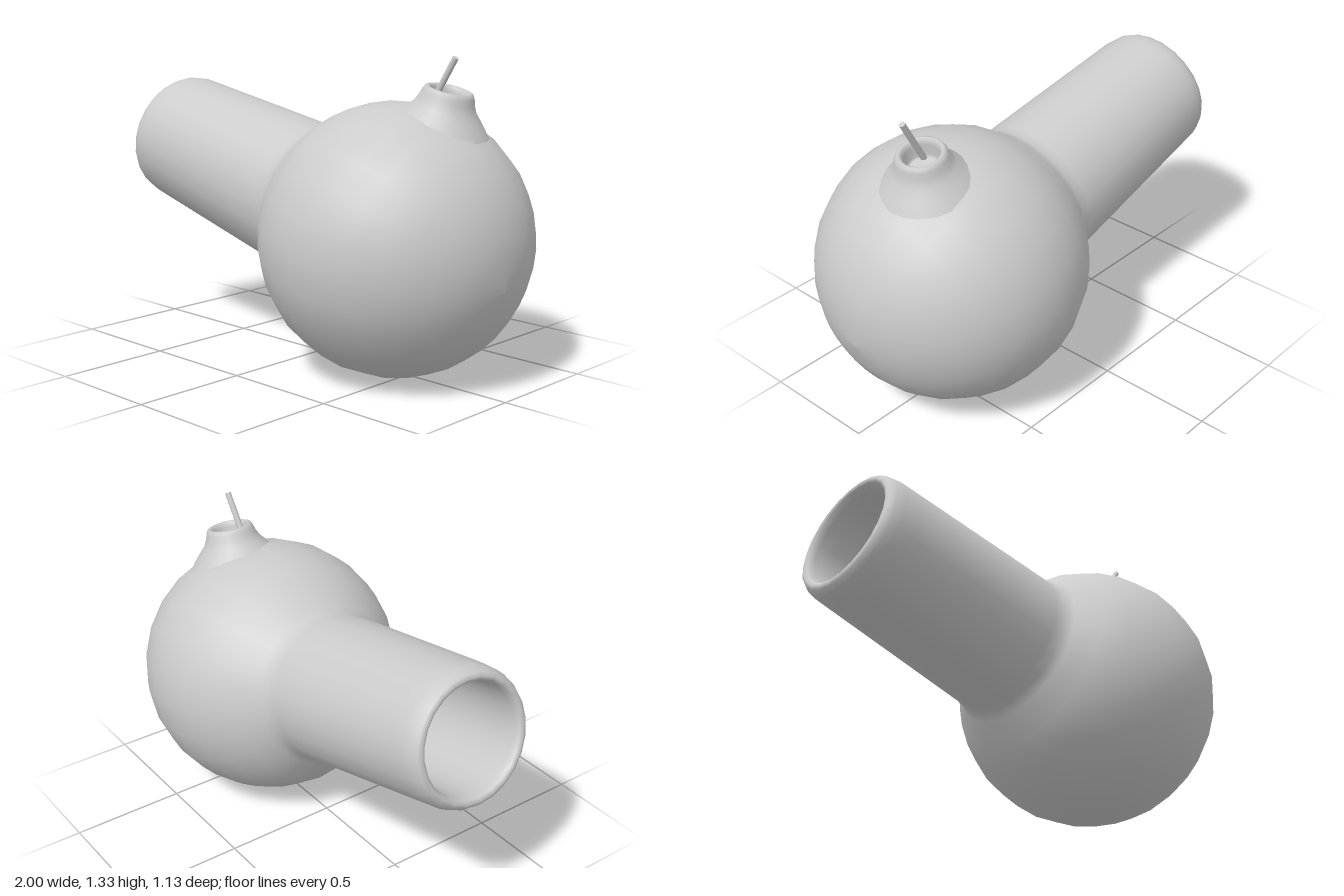
import * as THREE from 'three';

const material = new THREE.MeshStandardMaterial({ color: 0xcccccc, side: THREE.DoubleSide });
const UP = new THREE.Vector3(0, 1, 0);

// Lathe a profile of [radius, height] pairs and point its axis along dir
function turned(name, profile, segments, origin, dir) {
  const points = profile.map(([r, h]) => new THREE.Vector2(r, h));
  const mesh = new THREE.Mesh(new THREE.LatheGeometry(points, segments), material);
  mesh.name = name;
  mesh.position.set(...origin);
  mesh.quaternion.setFromUnitVectors(UP, new THREE.Vector3(...dir).normalize());
  return mesh;
}

export function createModel() {
  const group = new THREE.Group();
  group.name = 'roundCannon';

  // Ball: arc from the rear pole to the foot of the barrel
  const R = 0.569;
  const body = [];
  const steps = 12;
  for (let i = 0; i <= steps; i++) {
    const a = (i / steps) * 2.48;
    body.push([R * Math.sin(a), -R * Math.cos(a)]);
  }
  // Soft joint, tapering barrel, rolled lip, then the bore back inside
  body.push(
    [0.328, 0.485], [0.321, 0.53], [0.306, 0.9], [0.291, 1.27], [0.288, 1.335],
    [0.28, 1.375], [0.266, 1.4], [0.25, 1.408], [0.236, 1.4], [0.228, 1.375],
    [0.226, 1.3], [0.23, 0.9], [0.23, 0.56], [0.2, 0.51], [0, 0.5]
  );
  group.add(turned('ballAndBarrel', body, 24, [0.431, 0.567, 0], [-0.974, 0.226, 0]));

  // Flared fuse neck with a rounded rim and a shallow cup
  const neck = [
    [0.2, -0.16], [0.16, -0.11], [0.128, -0.075], [0.113, -0.045], [0.106, -0.02],
    [0.098, -0.004], [0.087, 0], [0.077, -0.007], [0.071, -0.025],
    [0.068, -0.07], [0.06, -0.08], [0, -0.08]
  ];
  group.add(turned('fuseNeck', neck, 20, [0.645, 1.193, -0.065], [0.235, 0.97, -0.05]));

  // Fuse rod leaning out of the neck
  const start = new THREE.Vector3(0.583, 1.12, -0.02);
  const end = new THREE.Vector3(0.7, 1.32, -0.03);
  const axis = end.clone().sub(start);
  const fuse = new THREE.Mesh(new THREE.CylinderGeometry(0.013, 0.013, axis.length(), 10), material);
  fuse.name = 'fuse';
  fuse.position.copy(start).add(end).multiplyScalar(0.5);
  fuse.quaternion.setFromUnitVectors(UP, axis.normalize());
  group.add(fuse);

  return group;
}
